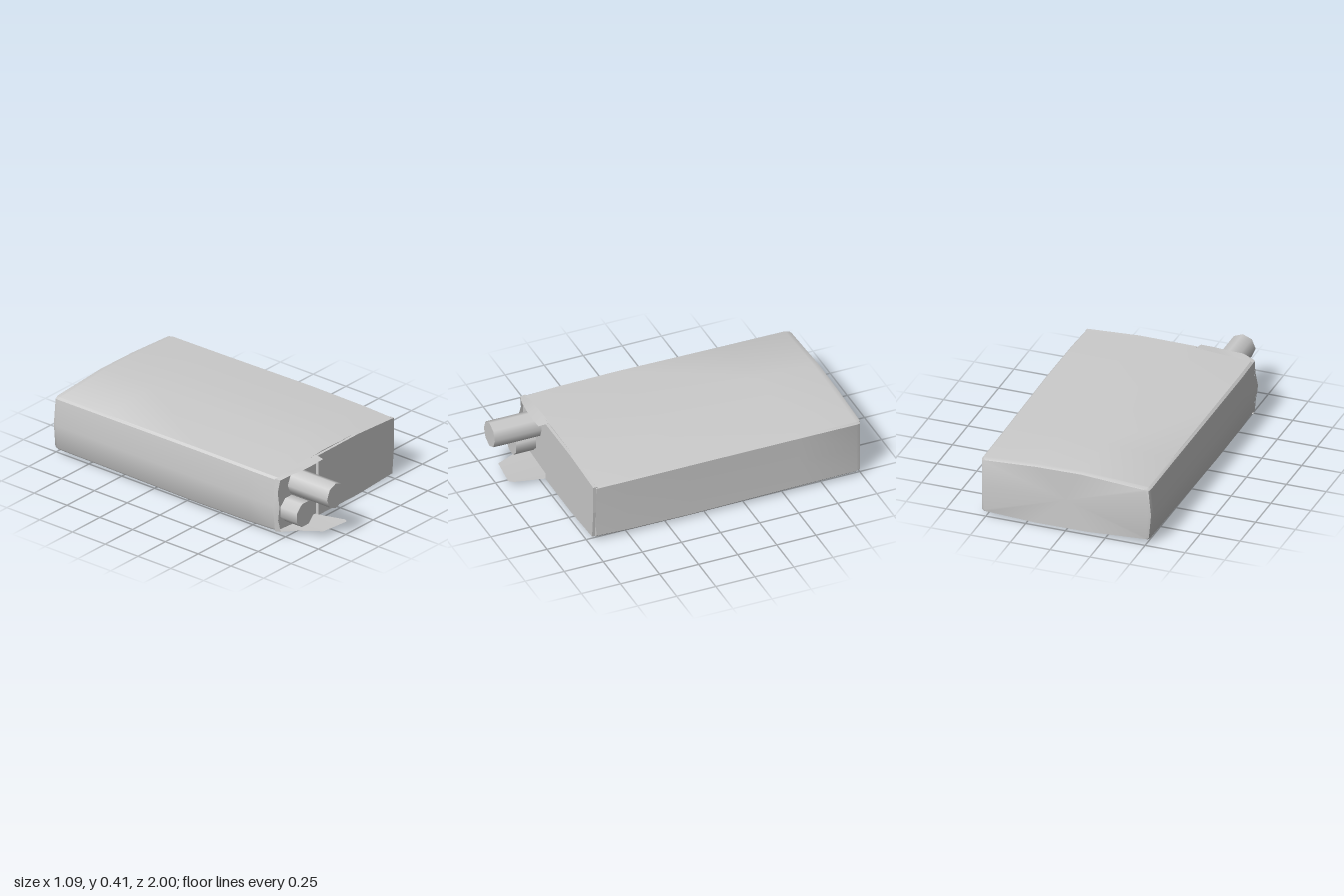
import * as THREE from 'three';
import { toCreasedNormals } from 'three/addons/utils/BufferGeometryUtils.js';

const grey = new THREE.MeshStandardMaterial({ color: 0xcccccc });
const paper = new THREE.MeshStandardMaterial({ color: 0xcccccc, side: THREE.DoubleSide });

// Bulging cross-section of the packet, anticlockwise seen from the front
const section = [
  [-0.525, 0.028], [-0.15, 0.004], [0.2, 0.002], [0.53, 0.018], [0.542, 0.03], [0.54, 0.2],
  [0.542, 0.375], [0.53, 0.386], [0.2, 0.405], [-0.1, 0.409], [-0.515, 0.382], [-0.53, 0.37],
  [-0.547, 0.2], [-0.533, 0.04],
];
// Stations along the packet: z, width scale, height scale
const stations = [
  [-0.997, 0.945, 0.92], [-0.99, 0.975, 0.935], [-0.965, 0.988, 0.95], [-0.6, 0.99, 0.965],
  [0.1, 1, 1], [0.5, 0.997, 0.985], [0.7, 0.985, 0.965],
];

function loft(ring, rows) {
  const pos = [], index = [], n = ring.length;
  for (const [z, sx, sy] of rows)
    for (const [x, y] of ring) pos.push(x * sx, 0.205 + (y - 0.205) * sy, z);
  for (let r = 0; r < rows.length - 1; r++)
    for (let i = 0; i < n; i++) {
      const a = r * n + i, b = r * n + (i + 1) % n;
      index.push(a, b, b + n, a, b + n, a + n);
    }
  // Closed ends
  const back = pos.length / 3, front = back + 1, last = (rows.length - 1) * n;
  pos.push(0, 0.205, rows[0][0], 0, 0.205, rows[rows.length - 1][0]);
  for (let i = 0; i < n; i++) {
    const j = (i + 1) % n;
    index.push(back, j, i, front, last + i, last + j);
  }
  const g = new THREE.BufferGeometry();
  g.setAttribute('position', new THREE.Float32BufferAttribute(pos, 3));
  g.setIndex(index);
  return toCreasedNormals(g, 0.6);
}

// Thin sheet between a rooted edge and a torn edge with equal point counts
function sheet(root, edge) {
  const g = new THREE.BufferGeometry(), index = [], n = root.length;
  g.setAttribute('position', new THREE.Float32BufferAttribute([...root, ...edge].flat(), 3));
  for (let i = 0; i < n - 1; i++) index.push(i, i + 1, i + n + 1, i, i + n + 1, i + n);
  g.setIndex(index);
  return toCreasedNormals(g, 0.5);
}

export function createModel() {
  const group = new THREE.Group();
  const add = (name, geometry, material = grey) => {
    const mesh = new THREE.Mesh(geometry, material);
    mesh.name = name;
    group.add(mesh);
    return mesh;
  };

  add('packetBody', loft(section, stations));

  // Intact part of the front end, leaving the torn corner recessed
  const panel = new THREE.Shape([
    [-0.162, 0.006], [0.2, 0.004], [0.513, 0.022], [0.53, 0.2],
    [0.53, 0.379], [0.2, 0.398], [-0.162, 0.396],
  ].map(([x, y]) => new THREE.Vector2(x, y)));
  add('frontPanel', new THREE.ExtrudeGeometry(panel, { depth: 0.026, bevelEnabled: false }))
    .position.z = 0.692;

  // Torn paper around the opening
  add('bottomFlap', sheet(
    [[-0.525, 0.03, 0.69], [-0.44, 0.024, 0.69], [-0.38, 0.02, 0.69], [-0.2, 0.008, 0.69], [-0.162, 0.006, 0.69]],
    [[-0.52, 0.036, 0.73], [-0.44, 0.036, 0.8], [-0.37, 0.046, 0.93], [-0.18, 0.045, 0.95], [-0.162, 0.042, 0.92]],
  ), paper);
  add('topFlap', sheet(
    [[-0.525, 0.372, 0.69], [-0.44, 0.382, 0.69], [-0.34, 0.388, 0.69], [-0.25, 0.394, 0.69], [-0.162, 0.398, 0.69]],
    [[-0.52, 0.37, 0.725], [-0.44, 0.386, 0.75], [-0.34, 0.383, 0.758], [-0.25, 0.386, 0.763], [-0.17, 0.388, 0.76]],
  ), paper);
  add('sideFlap', sheet(
    [[-0.525, 0.03, 0.69], [-0.535, 0.11, 0.69], [-0.542, 0.2, 0.69], [-0.535, 0.29, 0.69], [-0.525, 0.372, 0.69]],
    [[-0.52, 0.036, 0.73], [-0.53, 0.11, 0.718], [-0.538, 0.2, 0.735], [-0.53, 0.29, 0.715], [-0.52, 0.37, 0.725]],
  ), paper);

  // Two rods sticking out of the opening: x, y, front end, twist
  for (const [name, x, y, end, twist] of [
    ['upperRod', -0.34, 0.29, 1, 0],
    ['lowerRod', -0.414, 0.144, 0.828, Math.PI / 8],
  ]) {
    const length = end - 0.6;
    const rod = new THREE.CylinderGeometry(0.08, 0.08, length, 8);
    rod.rotateY(twist).rotateX(Math.PI / 2);
    add(name, rod).position.set(x, y, end - length / 2);
  }
  return group;
}
